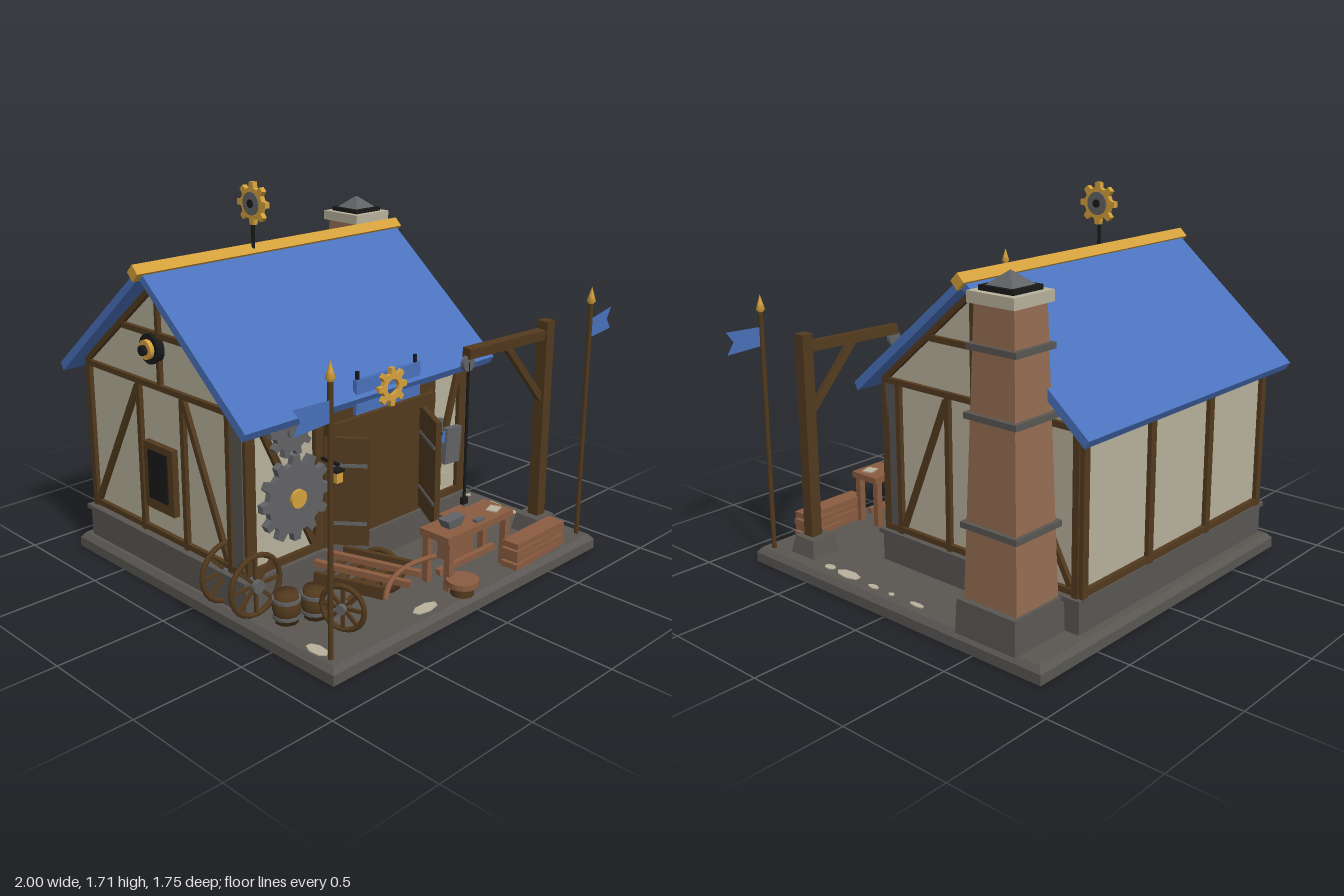
import * as THREE from 'three';

const mat = (name, color) => Object.assign(new THREE.MeshStandardMaterial({ color }), { name });

export function createModel() {
  const root = new THREE.Group();
  root.name = 'workshop';
  const blue = mat('blue', 0x4a72bc), gold = mat('gold', 0xd4a03c), timber = mat('timber', 0x523a1e),
    stone = mat('stone', 0x5a5753), plaster = mat('plaster', 0xb8b19b), brick = mat('brick', 0x946c52),
    black = mat('black', 0x191919), metal = mat('metal', 0x626366), wood = mat('wood', 0x8a5c40);

  const add = (name, geo, m, x = 0, y = 0, z = 0, parent = root) => {
    const mesh = new THREE.Mesh(geo, m);
    mesh.name = name;
    mesh.position.set(x, y, z);
    parent.add(mesh);
    return mesh;
  };
  const box = (name, m, w, h, d, x, y, z, parent) => add(name, new THREE.BoxGeometry(w, h, d), m, x, y, z, parent);
  const cyl = (name, m, r0, r1, h, x, y, z, n = 16, parent = root) =>
    add(name, new THREE.CylinderGeometry(r1, r0, h, n), m, x, y, z, parent);
  // square bar between two points
  const beam = (name, m, a, b, w, d = w, parent = root) => {
    const p = new THREE.Vector3(...a), q = new THREE.Vector3(...b), dir = q.clone().sub(p);
    const mesh = box(name, m, w, dir.length(), d, 0, 0, 0, parent);
    mesh.position.copy(p).add(q).multiplyScalar(0.5);
    mesh.quaternion.setFromUnitVectors(new THREE.Vector3(0, 1, 0), dir.normalize());
    return mesh;
  };
  // block whose top differs in size from its bottom
  const block = (name, m, w0, d0, w1, d1, y0, y1, x, z) => {
    const g = new THREE.BoxGeometry(w0, y1 - y0, d0), p = g.attributes.position;
    for (let i = 0; i < p.count; i++)
      if (p.getY(i) > 0) p.setXY(i, p.getX(i) * w1 / w0, p.getY(i)), p.setZ(i, p.getZ(i) * d1 / d0);
    const flat = g.toNonIndexed();
    flat.computeVertexNormals();
    return add(name, flat, m, x, (y0 + y1) / 2, z);
  };
  // z-y profile extruded along x
  const profile = (name, m, pts, x0, x1) => {
    const g = new THREE.ExtrudeGeometry(new THREE.Shape(pts.map(p => new THREE.Vector2(...p))),
      { depth: x1 - x0, bevelEnabled: false });
    return add(name, g.rotateY(-Math.PI / 2), m, x1);
  };
  const gear = (name, m, r, root0, teeth, depth, x, y, z, hole = 0) => {
    const s = new THREE.Shape();
    for (let i = 0; i < teeth; i++)
      [[-0.3, root0], [-0.17, r], [0.17, r], [0.3, root0]].forEach(([o, rad], k) => {
        const a = (i + o) / teeth * Math.PI * 2;
        s[i + k ? 'lineTo' : 'moveTo'](Math.cos(a) * rad, Math.sin(a) * rad);
      });
    if (hole) s.holes.push(new THREE.Path().absarc(0, 0, hole, 0, Math.PI * 2, true));
    const g = new THREE.ExtrudeGeometry(s, { depth, bevelEnabled: false, curveSegments: 10 });
    return add(name, g.translate(0, 0, -depth / 2), m, x, y, z);
  };
  const disc = (name, m, r, h, x, y, z, parent = root) => {
    const d = cyl(name, m, r, r, h, x, y, z, 20, parent);
    d.rotation.x = Math.PI / 2;
    return d;
  };
  // spoked wheel facing z
  const wheel = (name, r, x, y, z, parent = root) => {
    const g = new THREE.Group();
    g.name = name;
    g.position.set(x, y, z);
    parent.add(g);
    add('rim', new THREE.TorusGeometry(r - 0.012, 0.012, 6, 24), timber, 0, 0, 0, g);
    for (let i = 0; i < 4; i++) box('spoke', timber, 2 * r - 0.03, 0.014, 0.012, 0, 0, 0, g).rotation.z = i * Math.PI / 4;
    disc('hub', metal, r * 0.2, 0.05, 0, 0, 0, g);
    return g;
  };

  // ground slab and plinth
  block('slabBase', stone, 1.69, 1.69, 1.69, 1.69, 0, 0.045, 0, 0);
  block('slabTop', stone, 1.69, 1.69, 1.65, 1.65, 0.045, 0.07, 0, 0);
  box('plinth', stone, 1.36, 0.13, 1.1, -0.13, 0.135, -0.24);
  box('plinthLedge', stone, 1.39, 0.02, 1.12, -0.13, 0.21, -0.24);
  [[0.77, 0.3, 0.03, 0.07], [0.78, 0.13, 0.015, 0.03], [0.78, -0.13, 0.014, 0.04], [-0.79, 0.7, 0.03, 0.055],
    [-0.25, 0.77, 0.07, 0.03], [0.77, 0.42, 0.02, 0.03], [0.78, 0.02, 0.012, 0.015]].forEach(([x, z, sx, sz]) =>
    cyl('palePatch', plaster, 1, 1, 0.006, x, 0.072, z, 7).scale.set(sx, 1, sz));

  // house body and roof
  profile('walls', plaster, [[0.28, 0.2], [0.28, 0.92], [-0.24, 1.37], [-0.78, 0.92], [-0.78, 0.2]], -0.78, 0.53);
  profile('roof', blue, [[0.4, 0.885], [-0.24, 1.42], [-0.87, 0.895], [-0.85, 0.862], [-0.24, 1.378], [0.38, 0.85]], -0.87, 0.61);
  beam('ridgeCap', gold, [-0.9, 1.405, -0.238], [0.63, 1.405, -0.238], 0.05).rotateY(Math.PI / 4);

  // gable timbers, both ends
  for (const x of [0.535, -0.785]) {
    const b = (a, c, w = 0.025) => beam('gableTimber', timber, [x, a[1], a[0]], [x, c[1], c[0]], 0.03, w);
    b([0.2, 0.22], [0.2, 0.91]);
    b([-0.09, 0.22], [-0.09, 0.91]);
    b([-0.39, 0.22], [-0.39, 0.91]);
    b([-0.765, 0.22], [-0.765, 0.91], 0.03);
    b([0.29, 0.24], [-0.78, 0.24]);
    b([0.29, 0.905], [-0.78, 0.905]);
    b([0.18, 0.26], [-0.08, 0.88]);
    b([-0.4, 0.88], [-0.74, 0.26]);
    b([-0.235, 0.92], [-0.235, 1.32], 0.02);
    b([0.01, 1.13], [-0.48, 1.13]);
    b([0.28, 0.91], [-0.235, 1.35]);
    b([-0.78, 0.91], [-0.235, 1.35]);
    box('cornerStone', stone, 0.02, 0.68, 0.065, x, 0.56, 0.25);
  }
  // back timbers
  for (const x of [-0.77, -0.34, 0.09, 0.525]) box('backPost', timber, 0.035, 0.7, 0.03, x, 0.56, -0.785);
  for (const y of [0.24, 0.9]) box('backRail', timber, 1.32, 0.03, 0.03, -0.125, y, -0.785);
  // front timbers
  for (const x of [-0.765, -0.39, 0.3, 0.52]) box('frontPost', timber, 0.05, 0.7, 0.04, x, 0.56, 0.28);
  for (const y of [0.235, 0.9]) box('frontRail', timber, 1.32, 0.03, 0.03, -0.125, y, 0.285);
  beam('frontBrace', timber, [-0.72, 0.88, 0.285], [-0.42, 0.26, 0.285], 0.03);
  beam('frontBrace', timber, [0.33, 0.26, 0.285], [0.5, 0.85, 0.285], 0.03);

  // doorway with two leaves ajar
  box('doorBack', timber, 0.62, 0.52, 0.03, -0.06, 0.48, 0.29);
  box('doorHeader', timber, 0.64, 0.05, 0.08, -0.05, 0.755, 0.31);
  box('doorCornice', timber, 0.6, 0.06, 0.05, -0.05, 0.81, 0.3);
  for (const [x0, z0, x1, z1] of [[0.23, 0.31, 0.1, 0.52], [-0.35, 0.31, -0.24, 0.44]]) {
    const leaf = new THREE.Group(), len = Math.hypot(x1 - x0, z1 - z0);
    leaf.name = 'doorLeaf';
    leaf.position.set((x0 + x1) / 2, 0.48, (z0 + z1) / 2);
    leaf.rotation.y = -Math.atan2(z1 - z0, x1 - x0);
    root.add(leaf);
    box('leafBoard', timber, len, 0.48, 0.025, 0, 0, 0, leaf);
    for (const y of [-0.14, 0.12]) box('strap', metal, len * 0.9, 0.015, 0.033, 0, y, 0, leaf);
  }
  for (const x of [-0.38, 0.23]) {
    box('lanternArm', black, 0.012, 0.012, 0.1, x, 0.63, 0.35);
    box('lanternLight', gold, 0.035, 0.045, 0.035, x, 0.575, 0.39);
    box('lanternCap', black, 0.045, 0.012, 0.045, x, 0.604, 0.39);
  }

  // hanging sign with gear
  box('signBoard', blue, 0.39, 0.15, 0.02, -0.07, 0.885, 0.375);
  for (const x of [-0.25, 0.1]) box('signHanger', black, 0.012, 0.04, 0.012, x, 0.975, 0.375);
  gear('signGear', gold, 0.085, 0.06, 8, 0.02, -0.07, 0.895, 0.4, 0.035);

  // wall gears
  gear('largeWallGear', metal, 0.185, 0.15, 12, 0.03, -0.56, 0.52, 0.33);
  disc('largeGearHub', gold, 0.04, 0.05, -0.56, 0.52, 0.335);
  gear('smallWallGear', metal, 0.115, 0.088, 10, 0.03, -0.57, 0.81, 0.32);
  disc('smallGearHub', metal, 0.03, 0.05, -0.57, 0.81, 0.32);

  // notices and plates right of the door
  box('wallPlate', metal, 0.11, 0.18, 0.02, 0.28, 0.55, 0.33).rotation.z = -0.05;
  box('wallPlate', metal, 0.1, 0.17, 0.03, 0.41, 0.49, 0.33).rotation.z = -0.08;
  box('bluePlate', blue, 0.035, 0.05, 0.008, 0.355, 0.54, 0.33);
  for (const [y, r] of [[0.4, 0.5], [0.35, -0.2]]) box('paleSheet', plaster, 0.13, 0.03, 0.01, 0.33, y, 0.31).rotation.z = r;

  // left gable window and round light
  box('windowFrame', timber, 0.04, 0.3, 0.2, -0.79, 0.5, -0.25);
  box('windowPane', black, 0.008, 0.22, 0.13, -0.812, 0.51, -0.25);
  for (const [m, r, x] of [[black, 0.065, -0.8], [gold, 0.042, -0.82], [black, 0.022, -0.838]])
    cyl('roundLight', m, r, r, 0.035, x, 1.07, -0.27, 20).rotation.z = Math.PI / 2;

  // chimney
  block('chimneyBase', stone, 0.3, 0.31, 0.29, 0.3, 0.07, 0.215, 0.695, -0.565);
  block('chimneyStack', brick, 0.245, 0.27, 0.185, 0.195, 0.215, 1.385, 0.69, -0.565);
  for (const [y, w] of [[0.52, 0.265], [0.955, 0.242], [1.22, 0.225]]) box('chimneyBand', stone, w, 0.025, w + 0.02, 0.69, y, -0.565);
  box('chimneyCap', plaster, 0.225, 0.045, 0.23, 0.69, 1.405, -0.565);
  box('chimneyMouth', black, 0.165, 0.02, 0.17, 0.69, 1.437, -0.565);
  block('chimneyCowl', metal, 0.13, 0.13, 0.004, 0.004, 1.447, 1.5, 0.69, -0.565);

  // roof vane
  cyl('vaneRod', black, 0.008, 0.008, 0.15, -0.28, 1.48, -0.225, 8);
  gear('vaneGear', gold, 0.092, 0.068, 8, 0.024, -0.28, 1.615, -0.22).rotation.y = Math.PI / 2;
  cyl('vaneHub', metal, 0.05, 0.05, 0.034, -0.28, 1.615, -0.22, 20).rotation.z = Math.PI / 2;
  cyl('vanePin', black, 0.018, 0.018, 0.042, -0.28, 1.615, -0.22).rotation.z = Math.PI / 2;

  // flag poles with swallowtail flags
  blue.side = THREE.DoubleSide;
  for (const s of [-1, 1]) {
    cyl('flagPole', timber, 0.011, 0.011, 1.1, s * 0.795, 0.62, 0.78, 8);
    add('poleTip', new THREE.LatheGeometry([[0.002, 0], [0.02, 0.025], [0.012, 0.05], [0, 0.09]].map(p => new THREE.Vector2(...p)), 10),
      gold, s * 0.795, 1.155, 0.78);
    const f = new THREE.Shape([[0, 0], [0.205, 0], [0.165, 0.05], [0.205, 0.1], [0, 0.085]].map(p => new THREE.Vector2(p[0] * s, p[1])));
    add('flag', new THREE.ShapeGeometry(f), blue, s * 0.795, 1.015, 0.785).rotation.y = s > 0 ? 0.15 : 0.1;
  }

  // crane
  block('craneFoot', stone, 0.15, 0.15, 0.12, 0.12, 0.07, 0.15, 0.695, 0.61);
  box('cranePost', timber, 0.055, 1.0, 0.055, 0.7, 0.58, 0.615);
  beam('craneArm', timber, [0.2, 1.02, 0.575], [0.72, 1.02, 0.615], 0.045);
  beam('craneBrace', timber, [0.45, 1.0, 0.595], [0.69, 0.71, 0.615], 0.03);
  disc('pulley', metal, 0.035, 0.02, 0.21, 0.975, 0.575);
  cyl('rope', black, 0.007, 0.007, 0.64, 0.21, 0.66, 0.58, 6);
  box('hook', black, 0.03, 0.03, 0.02, 0.21, 0.35, 0.58);

  // workbench, tools, crate, stool and lumber
  box('benchTop', wood, 0.43, 0.03, 0.16, 0.125, 0.305, 0.67);
  for (const x of [-0.06, 0.31]) for (const z of [0.61, 0.73]) box('benchLeg', wood, 0.03, 0.22, 0.03, x, 0.18, z);
  box('benchStretcher', wood, 0.37, 0.025, 0.025, 0.125, 0.13, 0.67);
  block('anvil', metal, 0.07, 0.05, 0.11, 0.06, 0.32, 0.36, 0.02, 0.67);
  box('tool', metal, 0.05, 0.012, 0.025, 0.14, 0.326, 0.72);
  box('paper', plaster, 0.06, 0.006, 0.05, 0.28, 0.323, 0.69).rotation.y = 0.3;
  box('crate', wood, 0.14, 0.21, 0.09, 0.21, 0.175, 0.54);
  cyl('stoolSeat', wood, 0.07, 0.07, 0.025, -0.04, 0.125, 0.79);
  cyl('stoolBody', timber, 0.05, 0.05, 0.05, -0.04, 0.095, 0.79);
  for (let i = 0; i < 4; i++)
    box('plank', wood, 0.37 - (i % 2) * 0.02, 0.026, 0.085, 0.465, 0.084 + i * 0.031, 0.775).rotation.y = 0.05 - (i % 2) * 0.03;

  // barrels
  for (const [x, z] of [[-0.72, 0.45], [-0.61, 0.5]]) {
    const pts = [[0, 0], [0.048, 0], [0.062, 0.065], [0.048, 0.13], [0, 0.13]].map(p => new THREE.Vector2(...p));
    add('barrel', new THREE.LatheGeometry(pts, 10), timber, x, 0.07, z);
    for (const y of [0.1, 0.17]) cyl('barrelHoop', metal, 0.06, 0.06, 0.014, x, y, z, 10);
  }

  // handcart
  const cart = new THREE.Group();
  cart.name = 'handcart';
  cart.position.set(-0.45, 0.07, 0.61);
  cart.rotation.y = 0.33;
  root.add(cart);
  for (const s of [-1, 1]) {
    wheel('cartWheel', 0.105, s * 0.18, 0.105, 0, cart).rotation.y = Math.PI / 2;
    beam('cartShaft', wood, [s * 0.05, 0.2, -0.19], [s * 0.05, 0.2, 0.23], 0.025, 0.025, cart);
    box('cartRail', timber, 0.02, 0.05, 0.3, s * 0.13, 0.18, 0, cart);
  }
  for (let i = 0; i < 5; i++) box('cartSlat', timber, 0.28, 0.015, 0.035, 0, 0.165, -0.13 + i * 0.065, cart);
  box('axle', timber, 0.38, 0.025, 0.025, 0, 0.105, 0, cart);
  add('cartYoke', new THREE.TubeGeometry(new THREE.QuadraticBezierCurve3(new THREE.Vector3(-0.22, 0.2, 0.2),
    new THREE.Vector3(0, 0.22, 0.1), new THREE.Vector3(0.22, 0.2, 0.22)), 12, 0.012, 6), wood, 0, 0, 0, cart);

  // wheel at the left wall
  wheel('wallWheel', 0.14, -0.785, 0.21, 0.16 + 0.18);
  wheel('sideWheel', 0.14, -0.785, 0.21, 0.16);
  return root;
}
